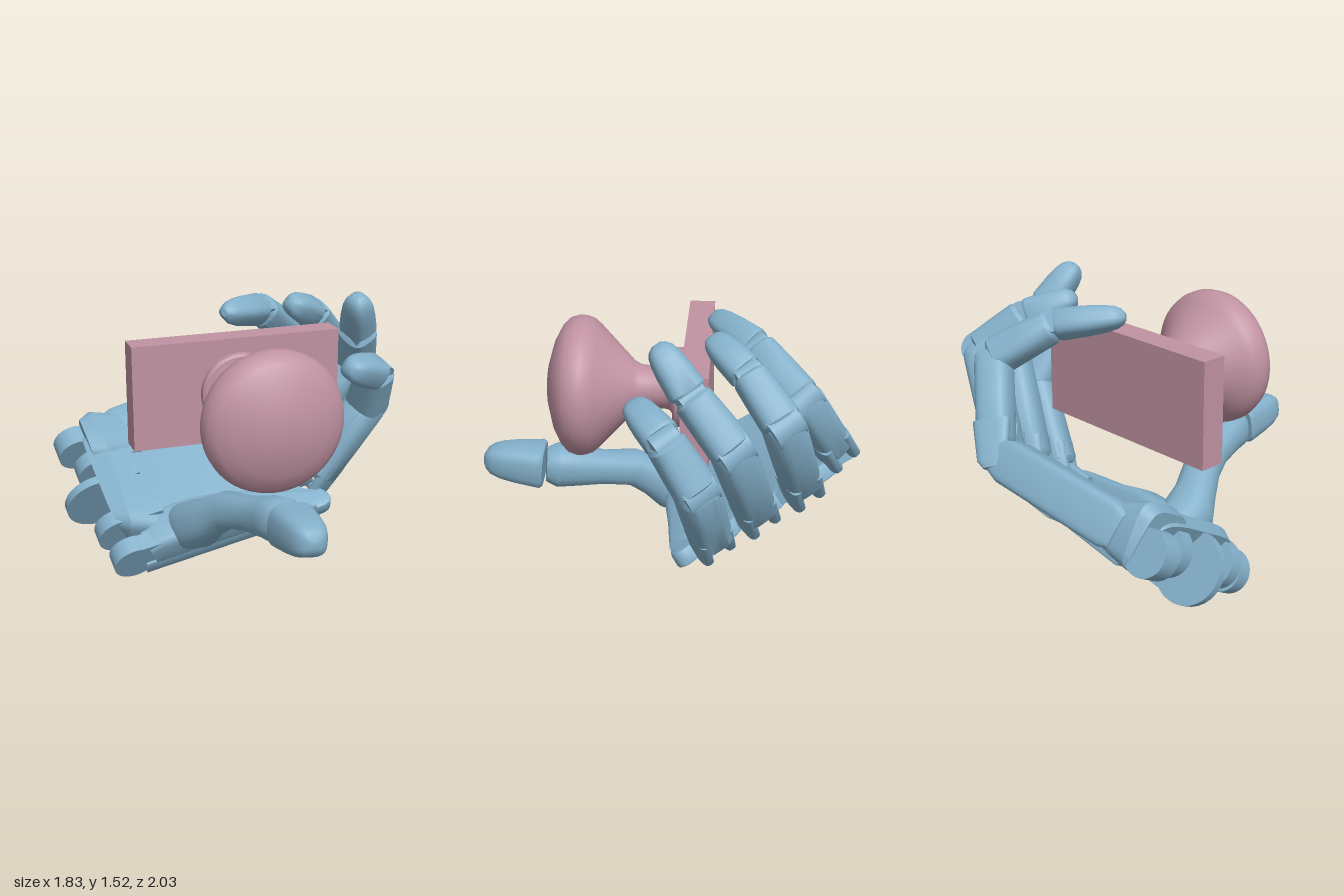
import * as THREE from 'three';
import { toCreasedNormals } from 'three/addons/utils/BufferGeometryUtils.js';

const V = (a) => new THREE.Vector3(...a);
const blue = new THREE.MeshStandardMaterial({ color: 0x84b0ca });
const pink = new THREE.MeshStandardMaterial({ color: 0xc092a2 });

function add(parent, name, geo, mat = blue) {
  const m = new THREE.Mesh(geo, mat);
  m.name = name;
  parent.add(m);
  return m;
}

// Loft of rounded-box sections; each station is [centre, half width, half height]
function loft(stations, side, e = 0.65, seg = 24) {
  const pos = [], idx = [], n = stations.length;
  const c = stations.map((s) => s[0]);
  const sp = (v) => Math.sign(v) * Math.abs(v) ** e;
  for (let i = 0; i < n; i++) {
    const t = c[Math.min(i + 1, n - 1)].clone().sub(c[Math.max(i - 1, 0)]).normalize();
    const up = t.clone().cross(side).normalize(), s = up.clone().cross(t);
    for (let j = 0; j < seg; j++) {
      const a = (j / seg) * Math.PI * 2;
      const p = c[i].clone().addScaledVector(s, stations[i][1] * sp(Math.cos(a)))
        .addScaledVector(up, stations[i][2] * sp(Math.sin(a)));
      pos.push(p.x, p.y, p.z);
    }
  }
  pos.push(...c[0].toArray(), ...c[n - 1].toArray());
  for (let j = 0; j < seg; j++) {
    const k = (j + 1) % seg, L = (n - 1) * seg;
    for (let i = 0; i < n - 1; i++) {
      const a = i * seg + j, b = i * seg + k;
      idx.push(a, b, b + seg, a, b + seg, a + seg);
    }
    idx.push(n * seg, k, j, n * seg + 1, L + j, L + k);
  }
  const g = new THREE.BufferGeometry();
  g.setAttribute('position', new THREE.Float32BufferAttribute(pos, 3));
  g.setIndex(idx);
  return toCreasedNormals(g, 0.6);
}

// Straight segment from a to b; the profile rows are [t, scale]
const SEGMENT = [[0, 0.8], [0.06, 1], [0.5, 1], [0.94, 0.98], [1, 0.8]];
const TIP = [[0, 0.9], [0.05, 1], [0.45, 1], [0.7, 0.95], [0.86, 0.82], [0.95, 0.6], [1, 0.28]];
function bone(a, b, r0, r1, side, profile, flat = 1) {
  return loft(profile.map(([t, s]) => {
    const r = THREE.MathUtils.lerp(r0, r1, t) * s;
    return [a.clone().lerp(b, t), r, r * flat];
  }), side);
}

// Cylinder centred at c with its axis along dir
function pin(parent, name, c, dir, r, len) {
  const m = add(parent, name, new THREE.CylinderGeometry(r, r, len, 32));
  m.position.copy(c);
  m.quaternion.setFromUnitVectors(new THREE.Vector3(0, 1, 0), dir);
  return m;
}

// Three-part finger: forked base, two hinges and a blunt tip
function finger(name, joints, r) {
  const g = new THREE.Group();
  g.name = name;
  const [base, mid, end, tip] = joints.map(V);
  const dir = mid.clone().sub(base).normalize();
  const side = dir.clone().cross(tip.clone().sub(mid)).normalize();
  const start = base.clone().addScaledVector(dir, 0.06);
  add(g, 'proximalSegment', bone(start, mid.clone().addScaledVector(dir, 0.03), r, r * 1.04, side, SEGMENT));
  for (const s of [-1, 1]) {
    const off = side.clone().multiplyScalar(s * r * 0.66);
    const at = (d) => base.clone().addScaledVector(dir, d).add(off);
    add(g, 'baseProng', loft([[at(-0.07), 0.025, 0.05], [at(-0.03), 0.033, 0.08], [at(0.18), 0.033, 0.098]], side));
  }
  pin(g, 'basePin', base, side, 0.03, r * 1.8);
  pin(g, 'middleHinge', mid, side, r * 0.92, r * 1.6);
  add(g, 'middleSegment', bone(mid, end, r * 1.04, r * 0.92, side, SEGMENT));
  pin(g, 'endHinge', end, side, r * 0.7, r * 1.3);
  const tipDir = tip.clone().sub(end).normalize();
  add(g, 'fingertip', bone(end.clone().addScaledVector(tipDir, 0.02), tip, r * 0.92, r * 0.74, side, TIP, 0.92));
  return g;
}

function createPalm() {
  // Local axes: x wrist to knuckles, y across the hand, z out of the palm
  const palm = new THREE.Group();
  palm.name = 'palm';
  const u = V([0.98, 0.2, 0]).normalize();
  const v = V([-0.1, 0.5, -0.86]).normalize();
  palm.matrix.makeBasis(u, v, u.clone().cross(v)).setPosition(-0.6, 0.012, -0.1);
  palm.matrix.decompose(palm.position, palm.quaternion, palm.scale);
  const side = V([0, 1, 0]);

  // Flat back plate: pointed webs between rounded finger slots
  const edge = (y) => 1.18 - 0.24 * y;
  const s = new THREE.Shape();
  s.moveTo(0.07, 0);
  s.lineTo(1.1, 0);
  s.quadraticCurveTo(edge(0), 0, edge(0.06), 0.06);
  for (const y of [0.2, 0.45, 0.71]) {
    s.lineTo(edge(y) + 0.01, y - 0.105);
    s.bezierCurveTo(edge(y) - 0.15, y - 0.08, edge(y) - 0.15, y + 0.08, edge(y) - 0.01, y + 0.105);
  }
  s.lineTo(0.95, 0.9);
  s.lineTo(0.9, 0.96);
  s.lineTo(0.5, 0.95);
  s.lineTo(0.46, 0.87);
  s.lineTo(0.07, 0.87);
  add(palm, 'backPlate', toCreasedNormals(new THREE.ExtrudeGeometry(s, {
    depth: 0.06, bevelEnabled: true, bevelSize: 0.015, bevelThickness: 0.015, bevelSegments: 2,
  }), 0.6));

  // Padded body, tall at the wrist and thin at the knuckles
  const rows = [[0.0, 0.5, 0.33, 0.15], [0.03, 0.5, 0.37, 0.16], [0.25, 0.49, 0.4, 0.11],
    [0.5, 0.47, 0.44, 0.068], [0.8, 0.46, 0.42, 0.045], [1.0, 0.42, 0.38, 0.035]];
  add(palm, 'palmBody', loft(rows.map(([x, y, w, h]) => [V([x, y, h]), w, h]), side, 0.45, 40));
  // Raised wrist corner
  add(palm, 'wristRidge', loft([[V([-0.02, 0.78, 0.17]), 0.15, 0.16], [V([0.03, 0.78, 0.17]), 0.18, 0.175],
    [V([0.3, 0.8, 0.11]), 0.13, 0.1]], side, 0.45));
  // Thumb mound, flush with the front edge and sloping to the first knuckle
  const mound = [[0.1, 0.12, 0.1], [0.16, 0.125, 0.115], [0.4, 0.125, 0.12], [0.62, 0.11, 0.11], [0.8, 0.09, 0.08], [1.08, 0.06, 0.05]];
  add(palm, 'thumbMound', loft(mound.map(([x, w, h]) => [V([x, w - 0.015, h]), w, h]), side, 0.4));
  // Separate beam carrying the little finger
  add(palm, 'outerBeam', loft([[V([0.12, 0.88, 0.14]), 0.08, 0.1], [V([0.18, 0.89, 0.14]), 0.09, 0.12],
    [V([0.84, 0.97, 0.1]), 0.095, 0.115], [V([0.95, 0.98, 0.09]), 0.085, 0.075]], side, 0.35));

  // Tongues reaching into the finger forks
  for (const [y, z] of [[0.2, 0.07], [0.45, 0.07], [0.71, 0.07], [1.0, 0.11]]) {
    const x = edge(y) - 0.05;
    add(palm, 'knuckleTongue', loft([[V([x - 0.14, y, z]), 0.03, 0.04], [V([x + 0.02, y, z]), 0.03, 0.045],
      [V([x + 0.05, y, z]), 0.025, 0.03]], side));
  }
  // Wrist hinge lobes: [x, across, out, radius, thickness]
  for (const [x, y, z, r, t] of [[0.0, 0.05, 0.105, 0.12, 0.1], [-0.02, 0.22, 0.14, 0.13, 0.09],
    [-0.06, 0.48, 0.1, 0.19, 0.05], [0.0, 0.66, 0.14, 0.13, 0.09], [-0.07, 0.86, 0.13, 0.12, 0.12]]) {
    pin(palm, 'wristLobe', V([x, y, z]), side, r, t);
    add(palm, 'wristArm', new THREE.BoxGeometry(0.25, t, r * 1.8)).position.set(x + 0.125, y, z);
  }
  return palm;
}

function createThumb() {
  const g = new THREE.Group();
  g.name = 'thumb';
  const side = V([0.94, -0.1, -0.3]).normalize();
  const rows = [[-0.3, 0.25, -0.12, 0.13], [-0.27, 0.31, 0, 0.135], [-0.23, 0.38, 0.09, 0.11], [-0.17, 0.46, 0.2, 0.1],
    [-0.1, 0.49, 0.35, 0.092], [-0.04, 0.525, 0.5, 0.11], [-0.01, 0.54, 0.6, 0.118], [0, 0.545, 0.66, 0.09]];
  add(g, 'thumbStem', loft(rows.map(([x, y, z, r]) => [V([x, y, z]), r, r]), side, 0.85));
  add(g, 'thumbTip', bone(V([0.005, 0.55, 0.67]), V([0.01, 0.58, 1]), 0.13, 0.095, side, TIP, 0.94));
  return g;
}

// Turned knob on a rectangular panel
function createKnob() {
  const g = new THREE.Group();
  g.name = 'knobAndPanel';
  add(g, 'panel', new THREE.BoxGeometry(1.16, 0.575, 0.14), pink).position.set(-0.012, 1.018, -0.17);
  const pts = [[0, -0.1], [0.2, -0.1], [0.213, -0.088], [0.213, -0.052], [0.2, -0.04], [0.145, -0.038], [0.122, -0.02], [0.115, 0.01],
    [0.115, 0.1], [0.12, 0.135], [0.138, 0.168], [0.33, 0.352], [0.358, 0.385], [0.373, 0.425], [0.375, 0.465],
    [0.36, 0.51], [0.325, 0.545], [0.25, 0.585], [0.13, 0.62], [0, 0.632]];
  const lathe = new THREE.LatheGeometry(pts.map((p) => new THREE.Vector2(...p)), 64);
  const knob = add(g, 'knob', toCreasedNormals(lathe, 0.7), pink);
  knob.rotation.x = Math.PI / 2;
  knob.position.set(-0.01, 1.018, 0);
  return g;
}

export function createModel() {
  const model = new THREE.Group();
  model.name = 'handHoldingKnob';
  model.add(createPalm(), createThumb(), createKnob());
  model.add(
    finger('indexFinger', [[0.48, 0.35, -0.27], [0.79, 0.82, -0.19], [0.77, 1.06, -0.04], [0.53, 1.15, 0.14]], 0.107),
    finger('middleFinger', [[0.42, 0.48, -0.5], [0.78, 1.03, -0.36], [0.71, 1.27, -0.16], [0.63, 1.5, 0.01]], 0.104),
    finger('ringFinger', [[0.34, 0.6, -0.73], [0.7, 1.13, -0.6], [0.54, 1.32, -0.43], [0.34, 1.43, -0.24]], 0.098),
    finger('littleFinger', [[0.2, 0.76, -0.91], [0.47, 1.17, -0.7], [0.25, 1.35, -0.48], [-0.04, 1.41, -0.24]], 0.093),
  );
  return model;
}
